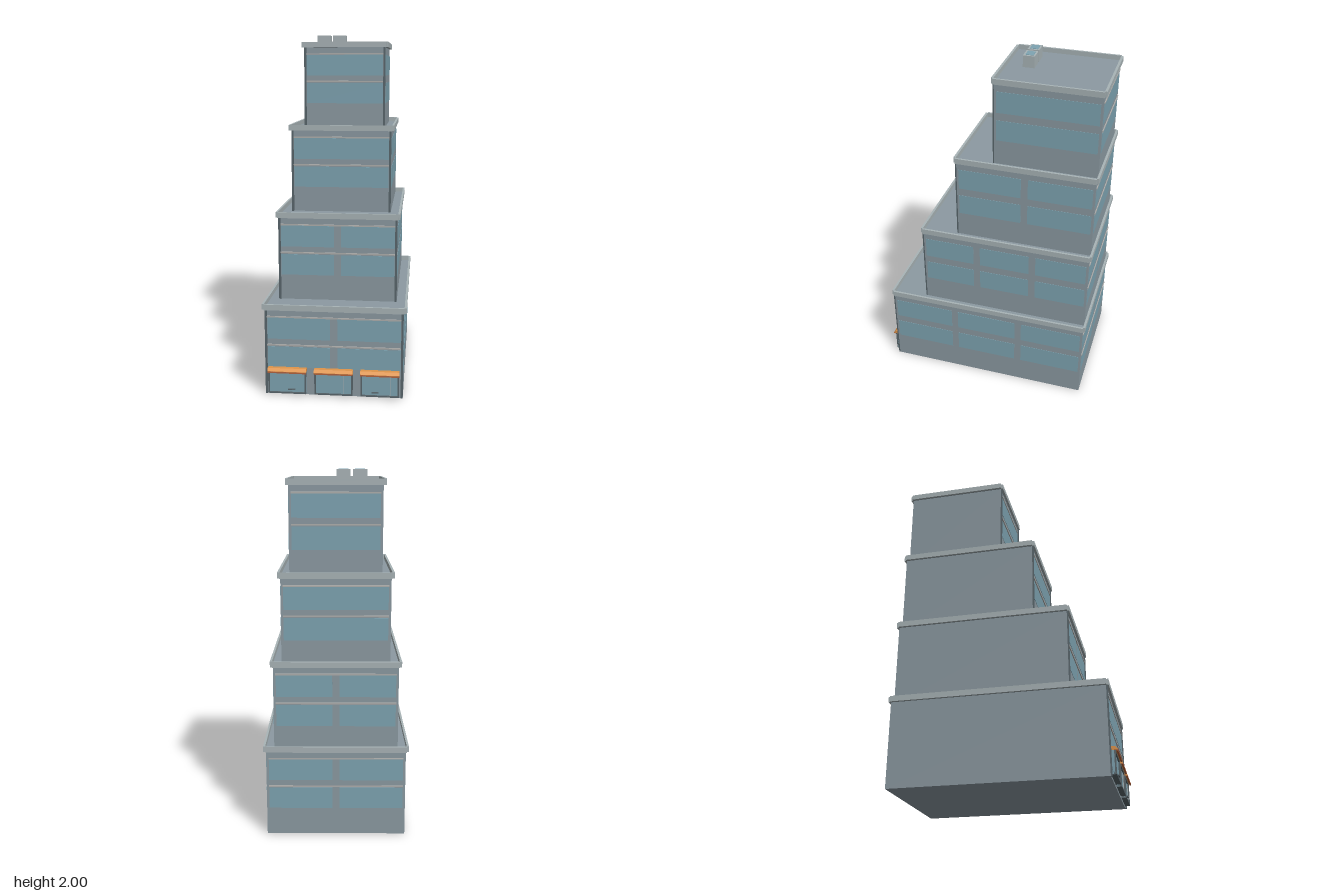
import * as THREE from 'three';

const mat = (color) => new THREE.MeshStandardMaterial({ color });
const wallMat = mat(0x8c9aa2);
const glassMat = mat(0x7ea4b2);
const trimMat = mat(0xa9b4b7);
const ledgeMat = mat(0xb0b0ae);
const frameMat = mat(0x59666c);
const awningMat = mat(0xe0954a);
const valanceMat = mat(0xb5643f);

const BACK = -0.61;
const STEP = 0.48;

// Box given by its min and max corners
function box(parent, name, material, [x0, y0, z0], [x1, y1, z1]) {
  const mesh = new THREE.Mesh(new THREE.BoxGeometry(x1 - x0, y1 - y0, z1 - z0), material);
  mesh.position.set((x0 + x1) / 2, (y0 + y1) / 2, (z0 + z1) / 2);
  mesh.name = name;
  parent.add(mesh);
  return mesh;
}

// Evenly spaced [start, end] intervals with gaps between them
function split(a, b, count, gap = 0.04) {
  const size = (b - a - gap * (count - 1)) / count;
  return Array.from({ length: count }, (_, i) => [a + i * (size + gap), a + i * (size + gap) + size]);
}

// One setback storey: body, windows, ledges, corner strips and parapet
function tier(index, halfW, front, frontCols, sideCols) {
  const g = new THREE.Group();
  g.name = `tier${index + 1}`;
  const y = index * STEP;
  const roof = y + 0.49;
  box(g, 'tierWalls', wallMat, [-halfW, index ? y + 0.005 : 0, BACK], [halfW, roof, front]);

  // Glass on the front, back and one side
  const t = 0.002;
  for (const [lo, hi] of [[0.155, 0.275], [0.32, 0.442]]) {
    for (const [a, b] of split(-halfW + 0.014, halfW - 0.014, frontCols)) {
      box(g, 'frontWindow', glassMat, [a, y + lo, front - t], [b, y + hi, front + t]);
      box(g, 'backWindow', glassMat, [a, y + lo, BACK - t], [b, y + hi, BACK + t]);
    }
    for (const [a, b] of split(BACK + 0.013, front - 0.012, sideCols)) {
      box(g, 'sideWindow', glassMat, [halfW - t, y + lo, a], [halfW + t, y + hi, b]);
    }
  }

  // Thin ledges above each window row
  for (const h of [0.281, 0.443]) {
    const x = halfW - 0.012;
    box(g, 'frontLedge', ledgeMat, [-x, y + h, front], [x, y + h + 0.008, front + 0.006]);
    box(g, 'backLedge', ledgeMat, [-x, y + h, BACK - 0.005], [x, y + h + 0.008, BACK]);
  }

  // Front corner strips
  for (const s of [-1, 1]) {
    const x = s * (halfW - 0.006);
    box(g, 'cornerStrip', frameMat, [x - 0.006, index ? roof - STEP : 0, front], [x + 0.006, y + 0.486, front + 0.008]);
  }

  // Parapet of four rails with notched corners
  const lo = y + 0.486, hi = y + 0.518, out = halfW + 0.016, inn = halfW + 0.004;
  for (const s of [-1, 1]) {
    box(g, 'sideParapet', trimMat, [Math.min(s * inn, s * out), lo, BACK - 0.003],
      [Math.max(s * inn, s * out), hi, front + 0.003]);
  }
  box(g, 'frontParapet', trimMat, [-inn, lo, front + 0.001], [inn, hi, front + 0.014]);
  box(g, 'backParapet', trimMat, [-inn, lo, BACK - 0.014], [inn, hi, BACK - 0.001]);
  box(g, 'roofDeck', wallMat, [-inn, lo, BACK - 0.003], [inn, roof + 0.001, front + 0.003]);
  return g;
}

// Glazed shop bay with frame, door handle and sloping awning
function shopBay(centerX, mullionX, handleX) {
  const g = new THREE.Group();
  g.name = 'shopBay';
  const w = 0.106, z = 0.584;
  box(g, 'shopGlass', glassMat, [-w, 0.015, z], [w, 0.137, z + 0.022]);
  for (const s of [-1, 1]) {
    const x = s * (w - 0.004);
    box(g, 'shopFramePost', frameMat, [x - 0.004, 0.012, z], [x + 0.004, 0.14, z + 0.03]);
  }
  box(g, 'shopFrameSill', frameMat, [-w, 0.012, z], [w, 0.02, z + 0.03]);
  box(g, 'shopFrameHead', frameMat, [-w, 0.13, z], [w, 0.138, z + 0.03]);
  if (mullionX !== null) {
    box(g, 'shopMullion', trimMat, [mullionX - 0.002, 0.02, z], [mullionX + 0.002, 0.13, z + 0.026]);
  }
  if (handleX !== null) {
    box(g, 'doorHandle', frameMat, [handleX - 0.02, 0.034, z], [handleX + 0.02, 0.039, z + 0.032]);
  }

  // Wedge awning extruded across the bay
  const profile = new THREE.Shape();
  profile.moveTo(-z, 0.138);
  profile.lineTo(-0.626, 0.138);
  profile.lineTo(-0.626, 0.144);
  profile.lineTo(-0.612, 0.158);
  profile.lineTo(-z, 0.158);
  const geo = new THREE.ExtrudeGeometry(profile, { depth: 0.216, bevelEnabled: false });
  geo.translate(0, 0, -0.108);
  geo.rotateY(Math.PI / 2);
  const awning = new THREE.Mesh(geo, awningMat);
  awning.name = 'awning';
  g.add(awning);
  box(g, 'awningValance', valanceMat, [-0.108, 0.134, 0.618], [0.108, 0.142, 0.627]);

  g.position.x = centerX;
  return g;
}

export function createModel() {
  const model = new THREE.Group();
  model.name = 'steppedTower';

  // Half width, front z, front window columns, side window columns
  const tiers = [
    [0.384, 0.585, 2, 3],
    [0.338, 0.383, 2, 3],
    [0.291, 0.18, 1, 2],
    [0.243, -0.027, 1, 1],
  ];
  tiers.forEach((spec, i) => model.add(tier(i, ...spec)));

  // Shop fronts at street level
  const shops = new THREE.Group();
  shops.name = 'shopFronts';
  shops.add(shopBay(-0.259, null, 0.025), shopBay(0, 0.058, null), shopBay(0.257, 0.058, -0.025));
  model.add(shops);

  // Rooftop ventilation units
  for (const x of [-0.175, -0.08]) {
    box(model, 'roofUnit', trimMat, [x, 1.925, -0.182], [x + 0.08, 1.998, -0.116]);
    box(model, 'roofUnitTop', glassMat, [x + 0.012, 1.99, -0.172], [x + 0.068, 2, -0.126]);
  }
  return model;
}
